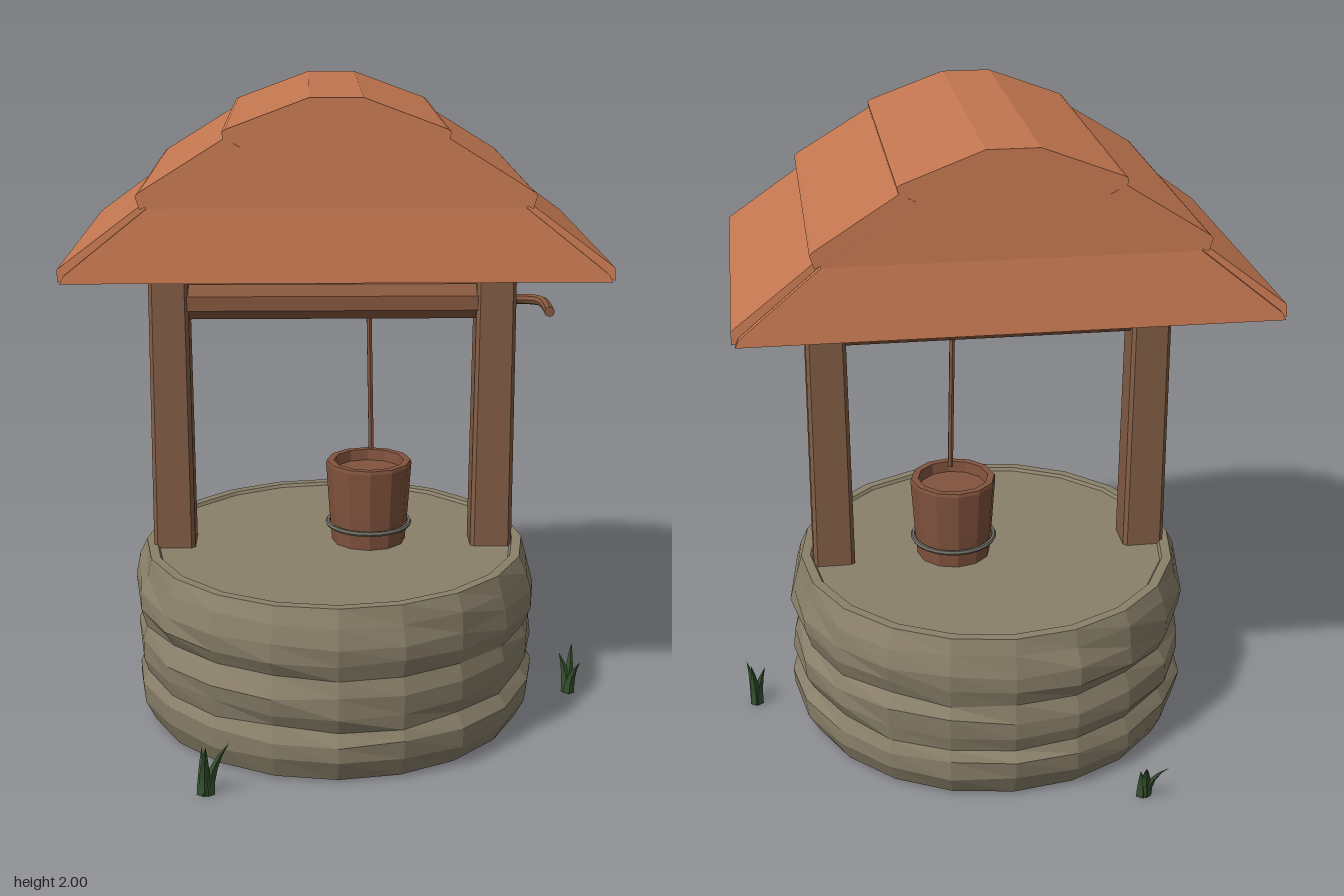
import * as THREE from 'three';

const mat = (name, color, extra = {}) => {
  const m = new THREE.MeshStandardMaterial({ color, flatShading: true, ...extra });
  m.name = name;
  return m;
};

export function createModel() {
  const stone = mat('stone', 0x8a806a);
  const tile = mat('terracotta', 0xc27650);
  const wood = mat('post wood', 0x835e46);
  const beamWood = mat('beam wood', 0x88593f);
  const bucketWood = mat('bucket wood', 0x82533e);
  const metal = mat('metal', 0x6e6b62);
  const leaf = mat('grass', 0x34512f, { side: THREE.DoubleSide });

  const root = new THREE.Group();
  root.name = 'well';
  const add = (name, geo, material, x = 0, y = 0, z = 0, parent = root) => {
    const m = new THREE.Mesh(geo, material);
    m.name = name;
    m.position.set(x, y, z);
    parent.add(m);
    return m;
  };
  const vec2s = pts => pts.map(p => new THREE.Vector2(p[0], p[1]));
  // Move every vertex of a geometry by a rule
  const warp = (geo, rule) => {
    const p = geo.attributes.position, v = new THREE.Vector3();
    for (let i = 0; i < p.count; i++) {
      v.fromBufferAttribute(p, i);
      rule(v, i);
      p.setXYZ(i, v.x, v.y, v.z);
    }
    geo.computeVertexNormals();
    return geo;
  };
  const noise = (a, b) => {
    const s = Math.sin(a * 12.99 + b * 78.23) * 43758.55;
    return s - Math.floor(s) - 0.5;
  };

  // Stone base: bulging courses with uneven facets
  const sides = 20;
  const profile = vec2s([[0, 0.006], [0.605, 0.006], [0.637, 0.07], [0.642, 0.13], [0.62, 0.17],
    [0.637, 0.22], [0.64, 0.28], [0.62, 0.33], [0.64, 0.385], [0.64, 0.44], [0.625, 0.5],
    [0.605, 0.552], [0.575, 0.552], [0.568, 0.542], [0, 0.542]]);
  const n = profile.length;
  add('stoneBase', warp(new THREE.LatheGeometry(profile, sides), (v, i) => {
    const ring = i % n, seg = Math.floor(i / n) % sides;
    if (ring < 2 || ring > 10) return;
    const k = 1 + noise(ring, seg) * 0.022;
    v.x *= k;
    v.z *= k;
    v.y += noise(seg, ring + 5) * 0.018;
  }), stone, -0.013);

  // Posts: chamfered square section, slightly tapered
  const a = 0.066, b = 0.054;
  const section = new THREE.Shape(vec2s([[a, -b], [a, b], [b, a], [-b, a], [-a, b], [-a, -b], [-b, -a], [b, -a]]));
  for (const [name, x] of [['rightPost', -0.525], ['leftPost', 0.487]]) {
    const g = new THREE.ExtrudeGeometry(section, { depth: 1.01, bevelEnabled: false });
    g.rotateX(-Math.PI / 2);
    add(name, warp(g, v => {
      const k = 1 - 0.09 * v.y;
      v.x *= k;
      v.z *= k;
    }), wood, x, 0.54, 0);
  }

  // Winding beam and crank
  const beam = new THREE.CylinderGeometry(0.059, 0.059, 0.94, 8);
  beam.rotateY(Math.PI / 8);
  beam.rotateZ(Math.PI / 2);
  add('beam', beam, beamWood, -0.015, 1.335, 0);
  const crank = new THREE.CatmullRomCurve3([[0.5, -0.003], [0.585, -0.003], [0.622, 0.015], [0.633, 0.06], [0.632, 0.185]]
    .map(([x, z]) => new THREE.Vector3(x, 1.335, z)));
  add('crankHandle', new THREE.TubeGeometry(crank, 14, 0.016, 8), beamWood);
  add('crankEnd', new THREE.CircleGeometry(0.016, 8), beamWood, 0.632, 1.335, 0.185);

  // Rope
  const rope = new THREE.CylinderGeometry(0.009, 0.009, 0.46, 6);
  rope.rotateZ(0.02);
  add('rope', rope, beamWood, 0.1, 1.075, -0.012);

  // Bucket: staves, shallow recessed top and a metal hoop
  const bucket = new THREE.Group();
  bucket.name = 'bucket';
  bucket.position.set(0.097, 0, -0.015);
  root.add(bucket);
  add('bucketBody', new THREE.LatheGeometry(vec2s([[0, 0.543], [0.118, 0.543], [0.127, 0.65],
    [0.137, 0.8], [0.134, 0.81], [0.112, 0.81], [0.108, 0.775], [0, 0.775]]), 12), bucketWood, 0, 0, 0, bucket);
  const hoop = new THREE.TorusGeometry(0.131, 0.008, 6, 24);
  hoop.rotateX(Math.PI / 2);
  add('bucketHoop', hoop, metal, 0, 0.602, 0, bucket);

  // Roof: its half depth shrinks with height and flares at the eaves
  const half = y => (y > 1.7 ? 0.515 - 0.1 * (y - 1.7) : 0.56 - 0.225 * (y - 1.5));
  const roof = new THREE.Group();
  roof.name = 'roof';
  roof.position.x = -0.015;
  root.add(roof);
  const sheet = (name, pts, inset) => {
    const g = new THREE.ExtrudeGeometry(new THREE.Shape(vec2s(pts)), { depth: 2, bevelEnabled: false });
    add(name, warp(g, v => { v.z = (v.z - 1) * (half(v.y) - inset); }), tile, 0, 0, 0, roof);
  };
  const mirror = pts => pts.map(([x, y]) => [-x, y]).reverse();
  const lower = [[0.775, 1.5], [0.775, 1.535], [0.535, 1.712], [0.49, 1.695], [0.745, 1.505]];
  const middle = [[0.543, 1.698], [0.555, 1.735], [0.545, 1.745], [0.31, 1.89], [0.265, 1.868], [0.5, 1.718]];
  sheet('leftEaveSheet', lower, 0.026);
  sheet('rightEaveSheet', mirror(lower), 0.026);
  sheet('leftMiddleSheet', middle, -0.002);
  sheet('rightMiddleSheet', mirror(middle), -0.002);
  const cap = [[0.308, 1.872], [0.315, 1.908], [0.305, 1.915], [0.075, 2]];
  const capIn = [[0.065, 1.965], [0.27, 1.885]];
  sheet('ridgeSheet', [...cap, ...mirror(cap), ...mirror(capIn), ...capIn], -0.002);

  // Gable boards at both ends, leaning inwards
  const gables = [
    ['GableLower', [[0.765, 1.5], [0.755, 1.52], [0.525, 1.7]]],
    ['GableUpper', [[0.525, 1.7], [0.54, 1.735], [0.305, 1.88], [0.305, 1.9], [0.075, 1.99]]],
  ];
  for (const turn of [0, Math.PI]) {
    for (const [name, pts] of gables) {
      const shape = new THREE.Shape(vec2s([...pts, ...mirror(pts)]));
      const g = new THREE.ExtrudeGeometry(shape, { depth: 0.02, bevelEnabled: false });
      const m = add((turn ? 'back' : 'front') + name, warp(g, v => { v.z += half(v.y) - 0.02; }), tile, 0, 0, 0, roof);
      m.rotation.y = turn;
    }
  }

  // Grass tufts: bent blades given as [base dx, base dz, tip dx, tip dz, height]
  const tufts = [
    [-0.405, 0.675, [[0, 0, 0.01, 0.075, 0.19], [0.01, 0, 0.075, 0.005, 0.17], [-0.005, 0, -0.01, -0.045, 0.13]]],
    [-0.41, -0.675, [[0, 0, 0.02, -0.08, 0.16], [0, 0, -0.06, -0.045, 0.13], [0.01, 0, 0.02, -0.01, 0.1]]],
    [0.765, 0, [[0, 0, 0.01, -0.025, 0.165], [0, 0.01, 0.025, 0.06, 0.13], [-0.005, 0, -0.035, 0, 0.14]]],
  ];
  for (const [x, z, blades] of tufts) {
    const tuft = new THREE.Group();
    tuft.name = 'grassTuft';
    tuft.position.set(x, 0, z);
    root.add(tuft);
    for (const [bx, bz, tx, tz, h] of blades) {
      const g = new THREE.ConeGeometry(0.019, h, 4, 4);
      g.translate(0, h / 2, 0);
      add('grassBlade', warp(g, v => {
        const t = Math.max(0, v.y / h), bend = t * t;
        const w = 1 + 0.7 * t;
        v.x = v.x * w + bx + (tx - bx) * bend;
        v.z = v.z * w * 0.7 + bz + (tz - bz) * bend;
      }), leaf, 0, 0, 0, tuft);
    }
  }
  return root;
}
